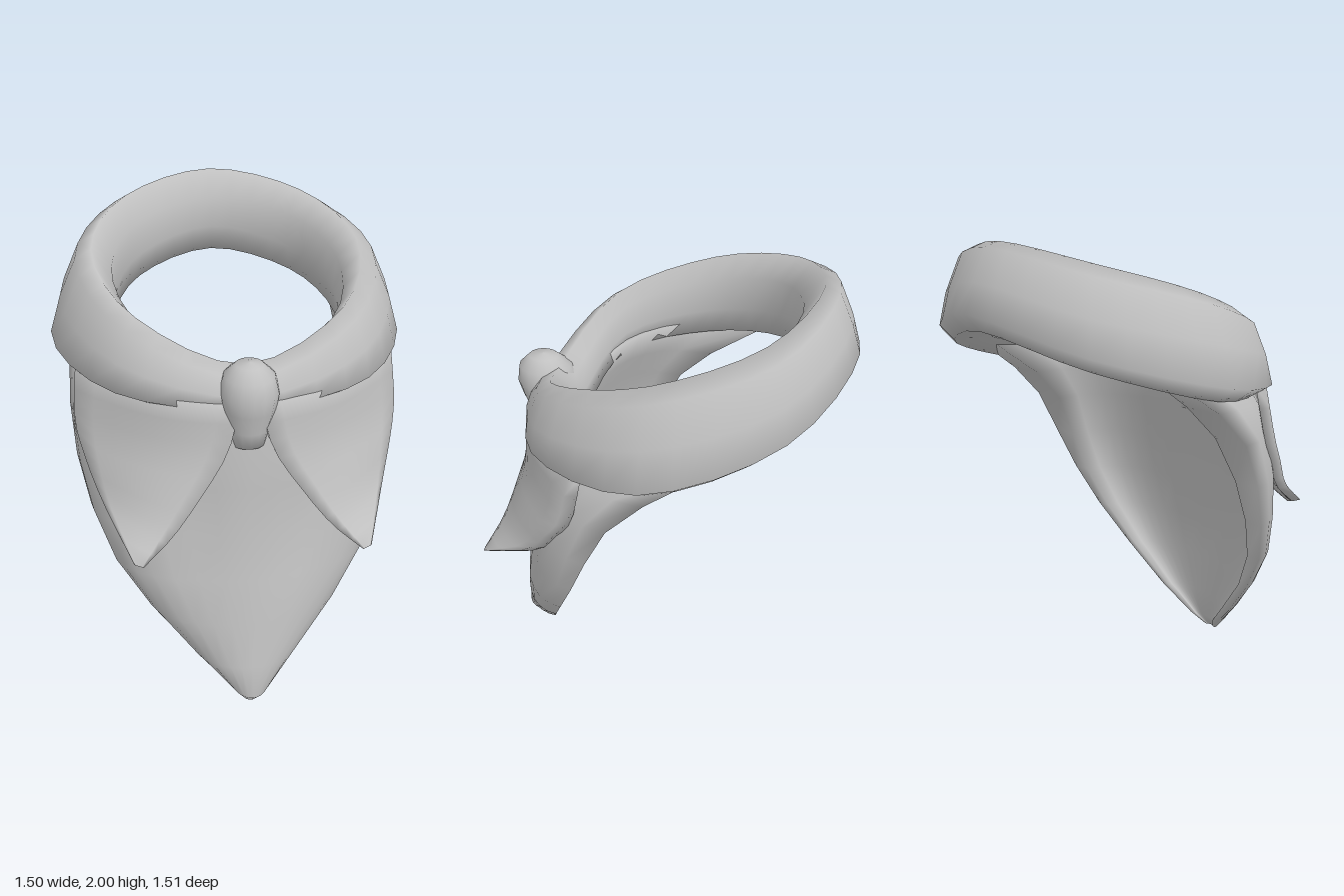
import * as THREE from 'three';

// Skins a list of closed rings; ends are joined into a loop or capped.
function loft(rings, loop) {
  const n = rings[0].length, m = rings.length, index = [];
  for (let i = 0; i < (loop ? m : m - 1); i++) {
    for (let j = 0; j < n; j++) {
      const a = i * n + j, b = i * n + (j + 1) % n;
      const c = ((i + 1) % m) * n + j, d = ((i + 1) % m) * n + (j + 1) % n;
      index.push(a, c, b, b, c, d);
    }
  }
  if (!loop) {
    // Cap each end with a strip between the front half and the back half
    for (let j = 0; j < n / 2 - 1; j++) {
      const q = [j, j + 1, n - 2 - j, n - 1 - j], e = q.map((k) => k + (m - 1) * n);
      index.push(q[0], q[1], q[2], q[0], q[2], q[3]);
      index.push(e[0], e[2], e[1], e[0], e[3], e[2]);
    }
  }
  // Turn the faces outward if the enclosed volume comes out negative
  const p = rings.flat();
  let volume = 0;
  for (let k = 0; k < index.length; k += 3) {
    const [a, b, c] = [p[index[k]], p[index[k + 1]], p[index[k + 2]]];
    volume += a.dot(b.clone().cross(c));
  }
  if (volume < 0) index.reverse();
  const geo = new THREE.BufferGeometry().setFromPoints(p);
  geo.setIndex(index);
  geo.computeVertexNormals();
  return geo;
}

// Rolled collar: [radius, height] profiles from the front (0) to the back (180 degrees)
function collarGeometry() {
  const profiles = [
    [[.44, 1.30], [.45, 1.38], [.49, 1.46], [.55, 1.50], [.61, 1.47], [.66, 1.41], [.655, 1.36], [.60, 1.31]],
    [[.52, 1.39], [.515, 1.48], [.53, 1.60], [.58, 1.66], [.64, 1.62], [.69, 1.50], [.715, 1.39], [.64, 1.35]],
    [[.48, 1.48], [.47, 1.59], [.48, 1.73], [.56, 1.81], [.63, 1.77], [.70, 1.62], [.75, 1.46], [.67, 1.40]],
    [[.49, 1.57], [.47, 1.68], [.47, 1.83], [.55, 1.93], [.62, 1.89], [.68, 1.74], [.71, 1.60], [.65, 1.54]],
    [[.49, 1.64], [.47, 1.75], [.465, 1.88], [.54, 2.0], [.60, 1.98], [.66, 1.85], [.70, 1.73], [.64, 1.66]],
  ];
  const curves = profiles[0].map((_, k) => new THREE.CatmullRomCurve3(
    [0, 1, 2, 3, 4, 3, 2, 1].map((s, i) => {
      const [r, y] = profiles[s][k], a = i * Math.PI / 4;
      return new THREE.Vector3(r * Math.sin(a), y, -0.06 + r * Math.cos(a));
    }), true));
  const rings = [];
  for (let i = 0; i < 32; i++) rings.push(curves.map((c) => c.getPoint(i / 32)));
  return loft(rings, true);
}

// Hanging cloth: curved shell narrowing to a point
function drapeGeometry() {
  // centre y, edge y, half width, front z, edge z, inner half width, inner z
  const rows = [
    [1.40, 1.53, .63, .54, -.32, .50, .40],
    [1.30, 1.35, .68, .57, -.06, .50, .405],
    [1.20, 1.20, .69, .59, .09, .52, .43],
    [1.00, 1.00, .675, .61, .19, .55, .48],
    [.80, .80, .63, .62, .275, .54, .525],
    [.60, .60, .55, .655, .365, .48, .565],
    [.40, .40, .41, .69, .45, .36, .585],
    [.20, .20, .235, .725, .53, .19, .60],
    [.06, .06, .09, .755, .60, .06, .62],
    [.00, .00, .035, .70, .65, .02, .66],
  ];
  const N = 16;
  return loft(rows.map(([yc, ye, w, zc, ze, wi, zi]) => {
    const ring = [];
    for (let k = 0; k < 2 * (N + 1); k++) {
      const outer = k <= N, j = outer ? k : 2 * N + 1 - k;
      const t = (j / N - 0.5) * Math.PI, s = Math.sin(t), c = Math.max(0, Math.cos(t));
      // The inner face is a squarer arc than the outer one
      const x = outer ? w * s : wi * Math.sign(s) * Math.abs(s) ** 0.7;
      const y = yc + (ye - yc) * s * s;
      let z = ze + (outer ? (zc - ze) * c : (zi - ze) * c ** 0.7);
      // Soft folds either side of the middle
      if (outer) z -= 0.04 * Math.exp(-(((Math.abs(x) - 0.22) / 0.1) ** 2) - (((y - 0.9) / 0.25) ** 2));
      ring.push(new THREE.Vector3(x, y, z));
    }
    return ring;
  }), false);
}

// Pointed scarf end spreading out from the knot, filled back to the drape behind it
function tailGeometry(side) {
  const v3 = (p) => new THREE.Vector3(...p);
  const inner = new THREE.CatmullRomCurve3([[.04, 1.38, .60], [.09, 1.19, .62], [.20, 1.02, .655],
    [.32, .87, .695], [.44, .775, .745]].map(v3));
  const outer = new THREE.CatmullRomCurve3([[.655, 1.42, .24], [.67, 1.2, .29], [.64, 1.08, .37],
    [.59, .95, .47], [.475, .785, .735]].map(v3));
  const rings = [], N = 8, M = 10;
  for (let i = 0; i <= M; i++) {
    const v = i / M, a = inner.getPoint(v), b = outer.getPoint(v), ring = [];
    for (let k = 0; k < 2 * (N + 1); k++) {
      const front = k <= N, u = (front ? k : 2 * N + 1 - k) / N;
      const p = a.clone().lerp(b, u);
      p.z += 0.1 * (1 - v) * Math.sin(Math.PI * u) - (front ? 0 : 0.05);
      p.x *= side * (front ? 1 : 0.98);
      ring.push(p);
    }
    rings.push(ring);
  }
  return loft(rings, false);
}

// Knot: rounded block that leans back toward its lower end
function knotGeometry() {
  const profile = [[0, 1.17], [.08, 1.19], [.088, 1.26], [.11, 1.35], [.118, 1.42], [.1, 1.49], [.055, 1.535], [0, 1.545]];
  const geo = new THREE.LatheGeometry(profile.map((p) => new THREE.Vector2(...p)), 16);
  const pos = geo.attributes.position;
  for (let i = 0; i < pos.count; i++) {
    pos.setZ(i, 0.555 + pos.getZ(i) * 1.15 + 0.15 * (pos.getY(i) - 1.44));
  }
  return geo;
}

export function createModel() {
  const group = new THREE.Group();
  group.name = 'neckerchief';
  const cloth = new THREE.MeshStandardMaterial({ color: 0xc0c0c0 });
  cloth.name = 'grey cloth';
  const add = (name, geo) => {
    const mesh = new THREE.Mesh(geo, cloth);
    mesh.name = name;
    group.add(mesh);
  };
  add('collar', collarGeometry());
  add('drape', drapeGeometry());
  add('leftTail', tailGeometry(1));
  add('rightTail', tailGeometry(-1));
  add('knot', knotGeometry());
  return group;
}
